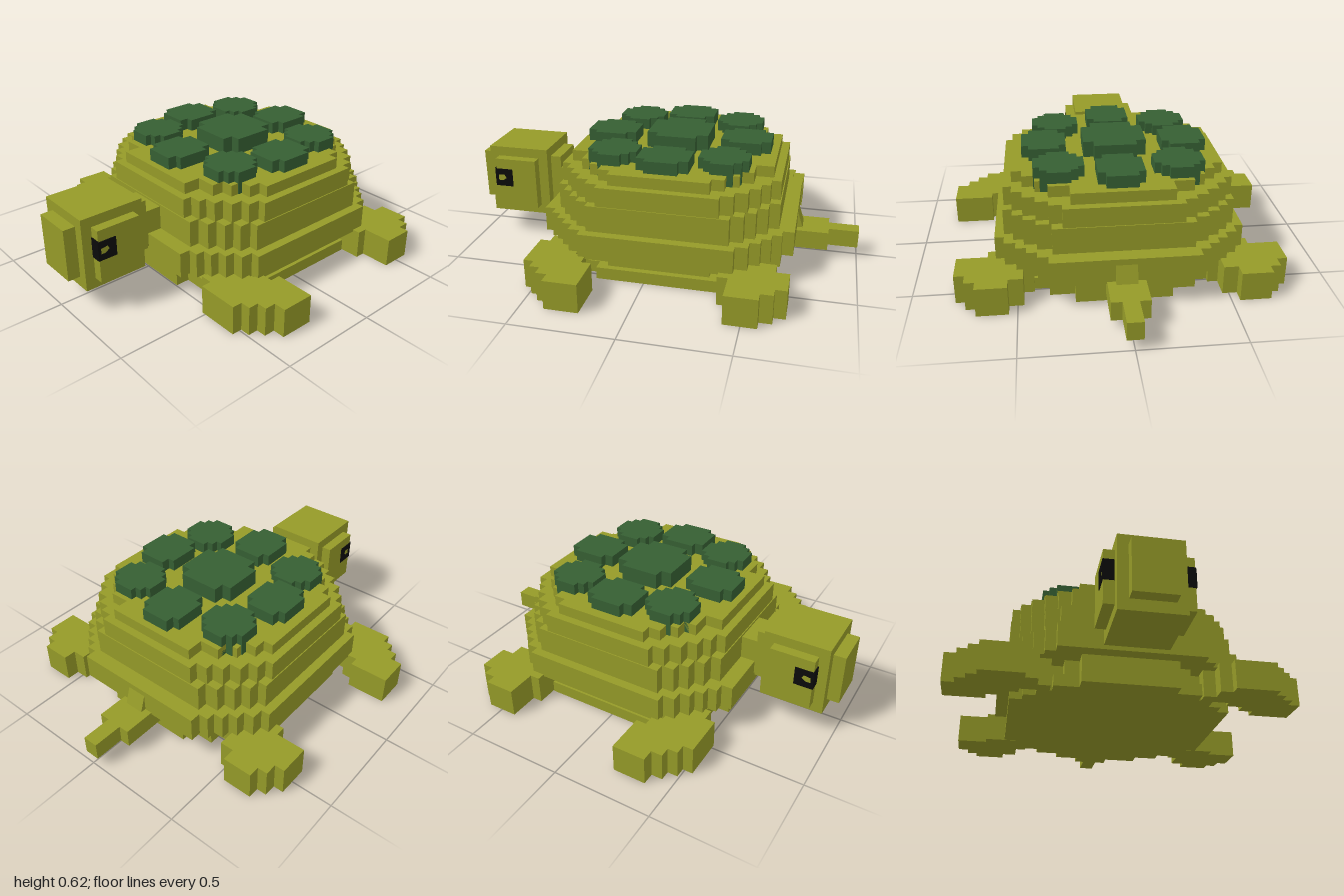
import * as THREE from 'three';

const CZ = -0.065; // shell centre along z

// Symmetric stepped outline from [halfX, halfZ] pairs (x falling, z rising)
function steps(pairs) {
  const q = [];
  pairs.forEach(([x, z], i) => {
    q.push([x, z]);
    if (i < pairs.length - 1) q.push([pairs[i + 1][0], z]);
  });
  const r = [...q].reverse();
  return [
    ...q,
    ...r.map(([x, z]) => [-x, z]),
    ...q.map(([x, z]) => [-x, -z]),
    ...r.map(([x, z]) => [x, -z]),
  ];
}

export function createModel() {
  const skin = new THREE.MeshStandardMaterial({ color: 0x959a28 });
  skin.name = 'olive skin';
  const green = new THREE.MeshStandardMaterial({ color: 0x365f33 });
  green.name = 'dark green';
  const black = new THREE.MeshStandardMaterial({ color: 0x0b0b0b });
  black.name = 'black';

  const model = new THREE.Group();
  model.name = 'turtle';

  function add(geo, mat, name, parent = model) {
    const mesh = new THREE.Mesh(geo, mat);
    mesh.name = name;
    parent.add(mesh);
    return mesh;
  }

  // Horizontal slab with an [x, z] outline, from y0 to y1
  function slab(name, outline, y0, y1, mat, x = 0, z = 0, parent = model) {
    const shape = new THREE.Shape(outline.map(([px, pz]) => new THREE.Vector2(px, -pz)));
    const geo = new THREE.ExtrudeGeometry(shape, { depth: y1 - y0, bevelEnabled: false });
    geo.rotateX(-Math.PI / 2).translate(x, y0, z);
    return add(geo, mat, name, parent);
  }

  // Box given by its limits
  function box(name, x0, x1, y0, y1, z0, z1, mat = skin, parent = model) {
    const geo = new THREE.BoxGeometry(x1 - x0, y1 - y0, z1 - z0);
    geo.translate((x0 + x1) / 2, (y0 + y1) / 2, (z0 + z1) / 2);
    return add(geo, mat, name, parent);
  }

  // Belly and shell, stacked from the ground up
  const layers = [
    ['belly', 0, 0.06, [[0.54, 0.3], [0.48, 0.36], [0.42, 0.43], [0.35, 0.49], [0.23, 0.56]]],
    ['bellyRecess', 0.06, 0.14, [[0.51, 0.25], [0.44, 0.33], [0.37, 0.41], [0.3, 0.48], [0.23, 0.56]]],
    ['shellRim', 0.135, 0.26, [[0.6, 0.37], [0.555, 0.43], [0.5, 0.48], [0.45, 0.525], [0.4, 0.57], [0.35, 0.625]]],
    ['shellWall', 0.26, 0.39, [[0.555, 0.34], [0.51, 0.4], [0.46, 0.45], [0.4, 0.5], [0.33, 0.55]]],
    ['shellShoulder', 0.39, 0.485, [[0.55, 0.29], [0.51, 0.35], [0.46, 0.41], [0.4, 0.46], [0.34, 0.5], [0.28, 0.545]]],
    ['shellTop', 0.485, 0.54, [[0.51, 0.24], [0.46, 0.3], [0.4, 0.36], [0.34, 0.42], [0.24, 0.505]]],
  ];
  for (const [name, y0, y1, pairs] of layers) slab(name, steps(pairs), y0, y1, skin, 0, CZ);

  // Shell spots
  slab('centreSpot', steps([[0.155, 0.1], [0.105, 0.155]]), 0.53, 0.62, green, 0, -0.07);
  const spot = steps([[0.11, 0.08], [0.075, 0.125]]);
  const cornerSpot = steps([[0.12, 0.055], [0.09, 0.09], [0.055, 0.12]]);
  slab('backSpot', spot, 0.53, 0.6, green, 0, -0.41);
  slab('frontSpot', spot, 0.53, 0.6, green, 0, 0.28);
  for (const s of [1, -1]) {
    slab('sideSpot', spot, 0.53, 0.6, green, s * 0.35, -0.065);
    slab('backCornerSpot', cornerSpot, 0.486, 0.595, green, s * 0.285, -0.34);
    slab('frontCornerSpot', cornerSpot, 0.486, 0.595, green, s * 0.285, 0.2);
  }

  // Legs: flat stepped flippers, mirrored across x
  const frontLeg = [
    [0.85, 0.22], [0.85, 0.385], [0.79, 0.385], [0.79, 0.44], [0.74, 0.44], [0.74, 0.49],
    [0.69, 0.49], [0.69, 0.54], [0.48, 0.54], [0.48, 0.49], [0.42, 0.49], [0.42, 0.42],
    [0.36, 0.42], [0.36, 0.36], [0.5, 0.36], [0.5, 0.32], [0.58, 0.32], [0.58, 0.27], [0.65, 0.27], [0.65, 0.22],
  ];
  const backLeg = [
    [0.54, -0.69], [0.69, -0.69], [0.69, -0.635], [0.74, -0.635], [0.74, -0.575], [0.79, -0.575],
    [0.79, -0.42], [0.64, -0.42], [0.64, -0.37], [0.5, -0.37], [0.42, -0.37], [0.42, -0.52],
    [0.47, -0.52], [0.47, -0.625], [0.54, -0.625],
  ].reverse();
  const mirror = (pts, s) => pts.map(([x, z]) => [s * x, z]);
  for (const [s, side] of [[1, 'left'], [-1, 'right']]) {
    slab(side + 'FrontLeg', mirror(frontLeg, s), 0, 0.145, skin);
    slab(side + 'BackLeg', mirror(backLeg, s), 0, 0.145, skin);
  }

  // Head: overlapping blocks that make stepped edges
  const head = new THREE.Group();
  head.name = 'head';
  model.add(head);
  box('neck', -0.1, 0.1, 0.19, 0.38, 0.42, 0.62, skin, head);
  box('headCore', -0.15, 0.15, 0.125, 0.49, 0.62, 0.94, skin, head);
  box('cheeks', -0.2, 0.2, 0.175, 0.44, 0.67, 0.89, skin, head);
  box('snout', -0.1, 0.1, 0.18, 0.44, 0.565, 1.0, skin, head);

  // Eyes: thin side frames with a bright centre, and a thin front strip
  for (const [s, side] of [[1, 'left'], [-1, 'right']]) {
    const eye = new THREE.Group();
    eye.name = side + 'Eye';
    head.add(eye);
    const frame = new THREE.Shape();
    frame.moveTo(-0.895, 0.29).lineTo(-0.8, 0.29).lineTo(-0.8, 0.385).lineTo(-0.895, 0.385);
    const hole = new THREE.Path();
    hole.moveTo(-0.88, 0.32).lineTo(-0.88, 0.35).lineTo(-0.845, 0.355).lineTo(-0.835, 0.335).lineTo(-0.855, 0.32);
    frame.holes.push(hole);
    const geo = new THREE.ExtrudeGeometry(frame, { depth: 0.005, bevelEnabled: false });
    geo.rotateY(Math.PI / 2).translate(s > 0 ? 0.199 : -0.204, 0, 0);
    add(geo, black, 'eyeFrame', eye);
    box('eyeFront', s > 0 ? 0.152 : -0.203, s > 0 ? 0.203 : -0.152, 0.29, 0.39, 0.889, 0.895, black, eye);
  }

  // Tail: broad root, thin tip and a small bump over the root
  box('tailRoot', -0.09, 0.09, 0.05, 0.145, -0.85, -0.55);
  box('tailTip', -0.038, 0.038, 0.055, 0.145, -1.0, -0.85);
  const bump = new THREE.Shape();
  bump.moveTo(0.65, 0.14).lineTo(0.72, 0.14).lineTo(0.69, 0.23).lineTo(0.65, 0.23);
  const bumpGeo = new THREE.ExtrudeGeometry(bump, { depth: 0.1, bevelEnabled: false });
  bumpGeo.rotateY(Math.PI / 2).translate(-0.05, 0, 0);
  add(bumpGeo, skin, 'tailBump');

  return model;
}
